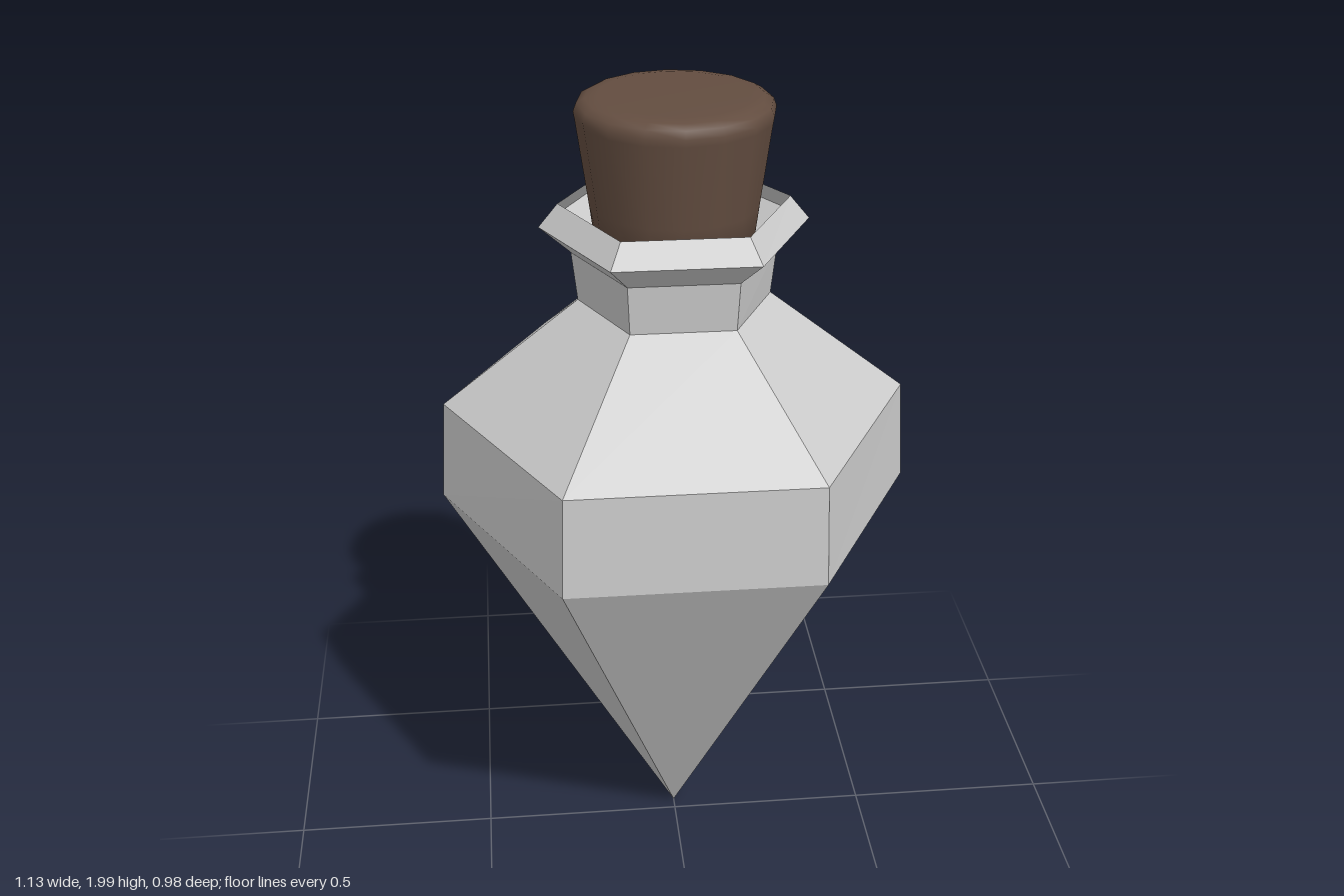
import * as THREE from 'three';

// Slightly irregular hexagonal ring: side half-width, corner half-width, front z, back z
function hexRing([y, w, c, front, back]) {
  return [
    [w, y, -0.01], [c, y, front], [-c, y, front],
    [-w, y, -0.01], [-c, y, back * 0.97], [c * 0.9, y, back],
  ];
}

// Faceted open shell lofted through rings listed from bottom to top
function loft(rings) {
  const positions = [];
  for (let i = 0; i < rings.length - 1; i++) {
    const lower = rings[i], upper = rings[i + 1];
    for (let j = 0; j < lower.length; j++) {
      const k = (j + 1) % lower.length;
      if (i > 0) positions.push(...lower[k], ...lower[j], ...upper[j]);
      positions.push(...lower[k], ...upper[j], ...upper[k]);
    }
  }
  const geometry = new THREE.BufferGeometry();
  geometry.setAttribute('position', new THREE.Float32BufferAttribute(positions, 3));
  geometry.computeVertexNormals();
  return geometry;
}

export function createModel() {
  const group = new THREE.Group();
  group.name = 'potionBottle';

  // Glass body: pointed base, wide belt, shoulder, neck and flared open lip
  const tip = Array.from({ length: 6 }, () => [0, 0.01, -0.035]);
  const rings = [
    [1.015, 0.565, 0.297, 0.488, -0.49],
    [1.26, 0.55, 0.29, 0.48, -0.48],
    [1.515, 0.225, 0.12, 0.2, -0.195],
    [1.632, 0.238, 0.125, 0.21, -0.205],
    [1.695, 0.31, 0.165, 0.272, -0.268],
    [1.75, 0.265, 0.14, 0.236, -0.228],
  ].map(hexRing);
  const bottle = new THREE.Mesh(
    loft([tip, ...rings]),
    new THREE.MeshStandardMaterial({ color: 0xcccccc, flatShading: true, side: THREE.DoubleSide })
  );
  bottle.name = 'bottle';
  group.add(bottle);

  // Tapered cork with a softly rounded top rim
  const profile = [
    [0, 1.6], [0.175, 1.6], [0.195, 1.755], [0.222, 1.95],
    [0.225, 1.967], [0.218, 1.985], [0.2, 1.995], [0.17, 2], [0, 2],
  ].map(([r, y]) => new THREE.Vector2(r, y));
  const cork = new THREE.Mesh(
    new THREE.LatheGeometry(profile, 16),
    new THREE.MeshStandardMaterial({ color: 0x634d40 })
  );
  cork.name = 'cork';
  cork.position.z = 0.006;
  group.add(cork);

  return group;
}
